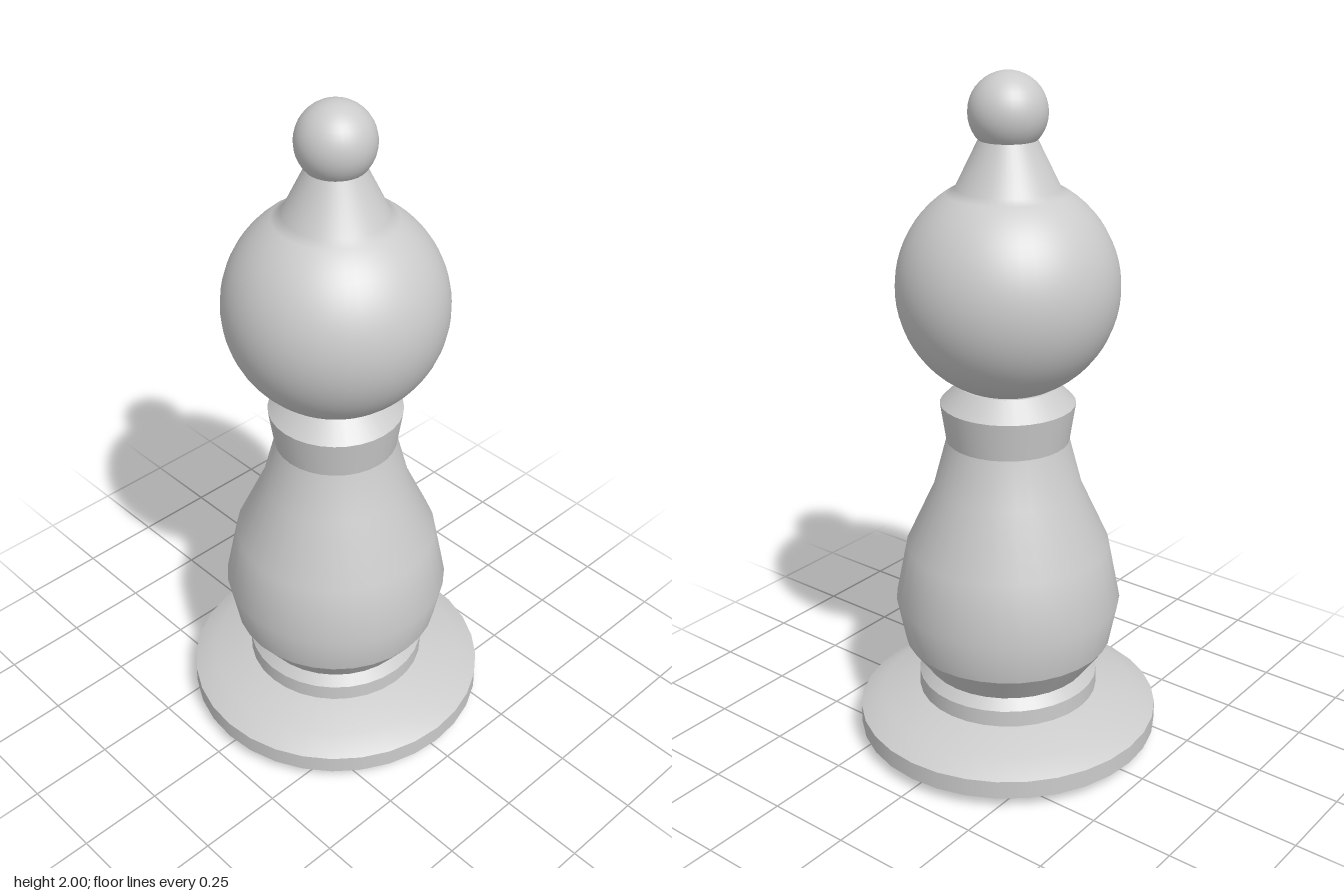
import * as THREE from 'three';

const material = new THREE.MeshStandardMaterial({ color: 0xcccccc });

// Turned part: each run of [radius, height] points is smooth, with sharp edges between runs
function turned(name, runs, segments = 32) {
  const part = new THREE.Group();
  part.name = name;
  runs.forEach((run, i) => {
    const points = run.map(([r, y]) => new THREE.Vector2(r, y));
    const mesh = new THREE.Mesh(new THREE.LatheGeometry(points, segments), material);
    mesh.name = `${name}Section${i + 1}`;
    part.add(mesh);
  });
  return part;
}

// Points along a circular arc centred on the axis, from angle a to b (0 = equator)
function arc(radius, centreY, a, b, steps) {
  return Array.from({ length: steps + 1 }, (_, i) => {
    const t = a + ((b - a) * i) / steps;
    return [Math.max(0, radius * Math.cos(t)), centreY + radius * Math.sin(t)];
  });
}

export function createModel() {
  const model = new THREE.Group();
  model.name = 'chessPiece';

  // Wide foot with bevelled rim
  model.add(turned('base', [
    [[0, 0], [0.385, 0]],
    [[0.385, 0], [0.452, 0.035]],
    [[0.452, 0.035], [0.452, 0.09]],
    [[0.452, 0.09], [0.387, 0.125], [0.27, 0.155]],
  ]));

  // Ring between foot and body
  model.add(turned('lowerRing', [
    [[0.27, 0.155], [0.27, 0.205]],
    [[0.27, 0.205], [0.245, 0.235]],
  ]));

  // Bulging body
  model.add(turned('body', [
    [[0.245, 0.235], [0.31, 0.325]],
    [[0.31, 0.325], [0.335, 0.455], [0.3, 0.63], [0.217, 0.81], [0.178, 0.957]],
  ]));

  // Flared collar under the head
  model.add(turned('collar', [
    [[0.178, 0.957], [0.195, 1.07]],
    [[0.195, 1.07], [0.14, 1.125]],
    [[0.14, 1.125], [0, 1.125]],
  ]));

  // Round head flowing into a tapered neck
  model.add(turned('head', [
    [...arc(0.314, 1.41, -Math.PI / 2, 1.09, 28), [0.08, 1.82]],
  ], 48));

  // Ball on top
  const finial = new THREE.Mesh(new THREE.SphereGeometry(0.109, 32, 20), material);
  finial.name = 'finial';
  finial.position.y = 1.891;
  model.add(finial);

  return model;
}
